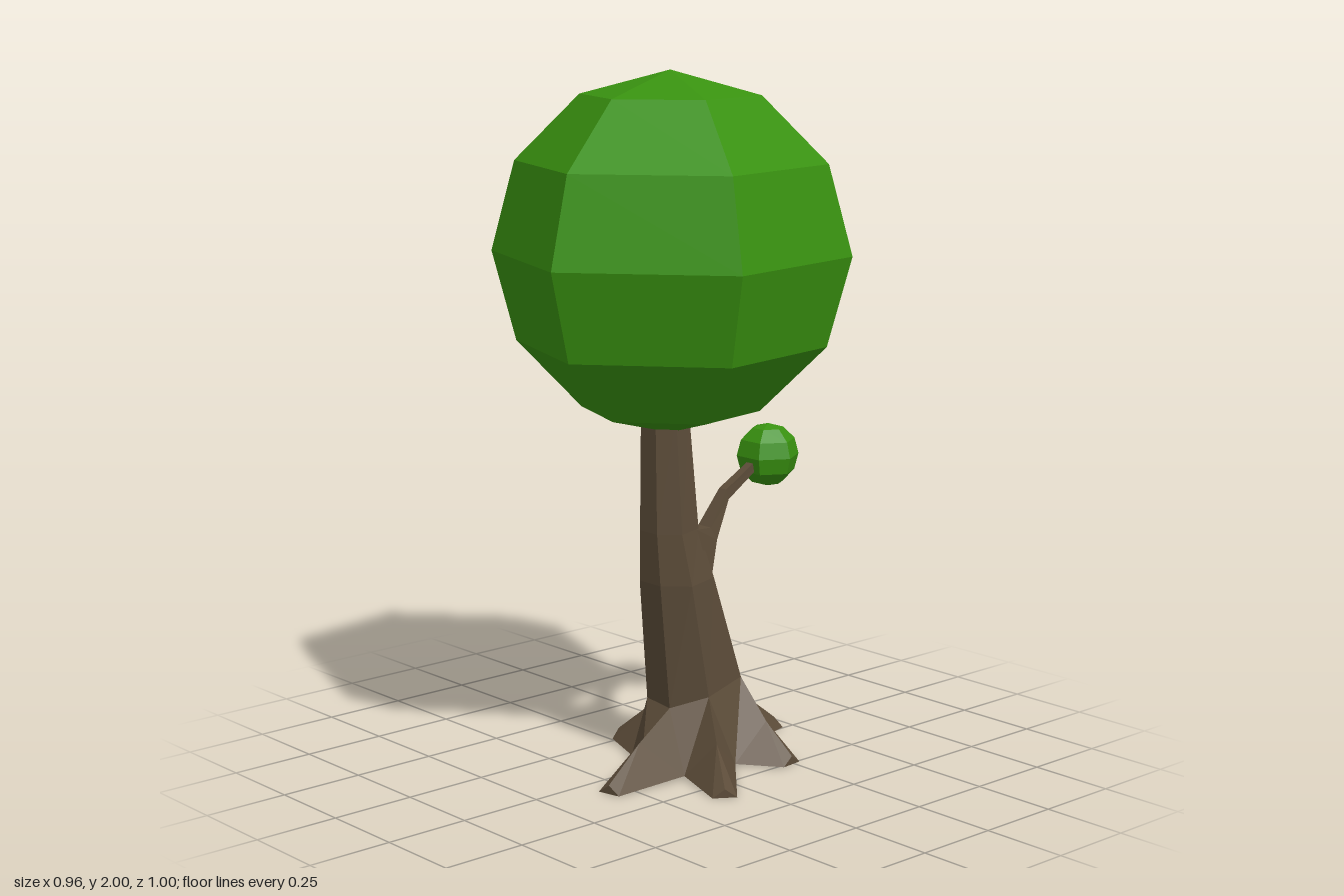
import * as THREE from 'three';

const bark = new THREE.MeshStandardMaterial({ color: 0x5c4c39, flatShading: true });
bark.name = 'bark brown';
const leaf = new THREE.MeshStandardMaterial({ color: 0x399210, flatShading: true });
leaf.name = 'leaf green';

// Mesh from a list of triangles, each three [x, y, z] corners
function facetMesh(name, tris, material) {
  const geo = new THREE.BufferGeometry();
  geo.setAttribute('position', new THREE.Float32BufferAttribute(tris.flat(2), 3));
  geo.computeVertexNormals();
  const mesh = new THREE.Mesh(geo, material);
  mesh.name = name;
  return mesh;
}

// Skin consecutive loops and close the far end
function skin(loops) {
  const tris = [];
  const n = loops[0].length;
  for (let k = 0; k < loops.length - 1; k++) {
    for (let i = 0; i < n; i++) {
      const j = (i + 1) % n;
      const a = loops[k], b = loops[k + 1];
      tris.push([a[i], a[j], b[j]], [a[i], b[j], b[i]]);
    }
  }
  const end = loops[loops.length - 1];
  for (let i = 1; i < n - 1; i++) tris.push([end[0], end[i], end[i + 1]]);
  return tris;
}

function crown(name, radius, x, y, z, turn) {
  const mesh = new THREE.Mesh(new THREE.SphereGeometry(radius, 6, 6), leaf);
  mesh.name = name;
  mesh.position.set(x, y, z);
  mesh.rotation.y = turn;
  return mesh;
}

// Six-sided trunk outline inside a unit square, from front left round to left
const outline = [[0.08, 1], [0.62, 1], [1, 0.66], [0.78, 0.04], [0.3, 0], [0, 0.5]];
const flare = [-0.02, -0.03, 0, 0.02, 0.03, 0.03]; // uneven lower edge

function trunkLoops() {
  const rings = [ // y, x min, x max, z min, z max
    [0.21, -0.075, 0.105, -0.23, 0.035],
    [0.55, -0.06, 0.105, -0.115, 0.075],
    [0.7, -0.05, 0.085, -0.065, 0.08],
    [1.04, -0.055, 0.06, -0.045, 0.07],
  ];
  return rings.map(([y, x0, x1, z0, z1], k) => outline.map(([u, v], i) =>
    [x0 + u * (x1 - x0), y + (k === 0 ? flare[i] : 0), z0 + v * (z1 - z0)]));
}

// Roots run from the trunk corners to tips, with valleys between them
function rootTriangles(top) {
  const tips = [null, [0.1, 0.32], [0.34, 0.1], [0.26, -0.24], [-0.04, -0.46], [-0.275, -0.04]];
  const valleys = [[0.02, 0.13], [0.15, 0.08], [0.17, -0.1], [0.06, -0.27], [-0.1, -0.2], [-0.09, 0.07]]
    .map(([x, z]) => [x, 0.015, z]);
  const n = top.length;
  const tris = [], edge = [];
  for (let i = 0; i < n; i++) {
    const T = top[i], before = valleys[(i + n - 1) % n], after = valleys[i];
    edge.push(before);
    if (tips[i]) {
      const [x, z] = tips[i];
      const dx = x - T[0], dz = z - T[2], len = Math.hypot(dx, dz);
      const sx = 0.035 * dz / len, sz = -0.035 * dx / len;
      const M = [T[0] + dx * 0.5, 0.115, T[2] + dz * 0.5];
      const P = [x, 0.03, z];
      const A = [x - sx, 0.005, z - sz], B = [x + sx, 0.005, z + sz];
      tris.push([T, before, M], [M, before, A], [M, A, P], [P, A, B],
        [M, P, B], [M, B, after], [T, M, after]);
      edge.push(A, B);
    } else {
      tris.push([T, before, after]);
    }
    tris.push([T, after, top[(i + 1) % n]]);
  }
  // Underside
  const centre = [0.02, 0.02, -0.06];
  edge.forEach((p, i) => tris.push([centre, edge[(i + 1) % edge.length], p]));
  return tris;
}

function branchLoops() {
  const sections = [ // x, half width, top y, top z, bottom y, bottom z
    [0.025, 0.04, 0.7, -0.045, 0.54, -0.1],
    [0.015, 0.026, 0.69, -0.12, 0.65, -0.145],
    [0, 0.015, 0.785, -0.205, 0.755, -0.215],
    [-0.013, 0.012, 0.868, -0.37, 0.838, -0.365],
  ];
  return sections.map(([x, w, ty, tz, by, bz]) =>
    [[x + w, by, bz], [x - w, by, bz], [x - w, ty, tz], [x + w, ty, tz]]);
}

export function createModel() {
  const tree = new THREE.Group();
  tree.name = 'tree';
  const loops = trunkLoops();
  tree.add(
    facetMesh('trunk', skin(loops), bark),
    facetMesh('roots', rootTriangles(loops[0]), bark),
    facetMesh('branch', skin(branchLoops()), bark),
    crown('mainCrown', 0.51, 0, 1.49, 0, -0.349),
    crown('branchCrown', 0.094, -0.015, 0.858, -0.4, 0),
  );
  return tree;
}
